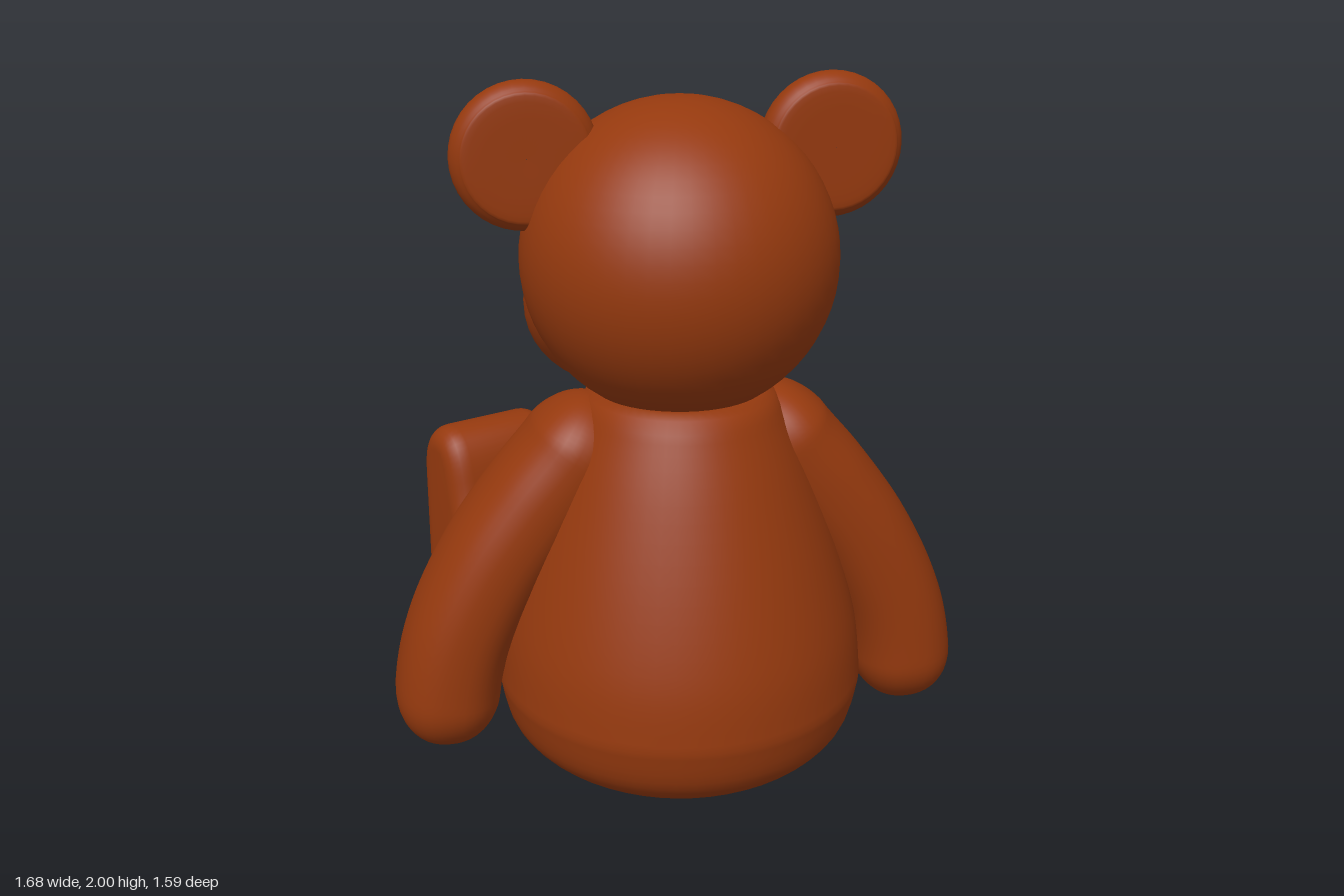
import * as THREE from 'three';
import { mergeVertices, toCreasedNormals } from 'three/addons/utils/BufferGeometryUtils.js';

const fur = new THREE.MeshStandardMaterial({ color: 0x95390e });
fur.name = 'brown fur';
const black = new THREE.MeshStandardMaterial({ color: 0x0a0a0a });
black.name = 'black';

const AXIS_Z = 0.25; // depth of the body, head, ear and arm centres

function add(group, name, geometry, material = fur) {
  const mesh = new THREE.Mesh(geometry, material);
  mesh.name = name;
  group.add(mesh);
  return mesh;
}

const spline = (pts) => new THREE.SplineCurve(pts.map(([x, y]) => new THREE.Vector2(x, y)));

// Smooth skin over rings; each ring has a centre c and half axes u, v (u x v points along the loft)
function loft(rings, sides, power) {
  const pos = [], index = [];
  const sup = (k) => Math.sign(k) * Math.pow(Math.abs(k), 2 / power);
  rings.forEach(({ c, u, v }, i) => {
    for (let j = 0; j < sides; j++) {
      const a = (j / sides) * Math.PI * 2;
      const p = c.clone().addScaledVector(u, sup(Math.cos(a))).addScaledVector(v, sup(Math.sin(a)));
      pos.push(p.x, p.y, p.z);
      if (i === rings.length - 1) continue;
      const k = (j + 1) % sides, r0 = i * sides, r1 = r0 + sides;
      index.push(r0 + j, r0 + k, r1 + j, r0 + k, r1 + k, r1 + j);
    }
  });
  const g = new THREE.BufferGeometry();
  g.setAttribute('position', new THREE.Float32BufferAttribute(pos, 3));
  g.setIndex(index);
  g.computeVertexNormals();
  return g;
}

// Pear-shaped torso
function torso() {
  const curve = spline([[0.535, 0.27], [0.515, 0.44], [0.45, 0.67], [0.36, 0.92], [0.285, 1.09]]);
  const base = spline([[0.001, 0.01], [0.25, 0.015], [0.4, 0.05], [0.5, 0.14], [0.535, 0.27]]);
  const pts = [...base.getPoints(20).slice(0, -1), ...curve.getPoints(20),
    ...[[0.265, 1.125], [0.23, 1.14], [0.001, 1.14]].map(([x, y]) => new THREE.Vector2(x, y))];
  return new THREE.LatheGeometry(pts, 56);
}

// Wedge-like snout tapering towards -z
function snout() {
  const plan = spline([[0.36, 0.25], [0.41, 0.1], [0.4, 0], [0.36, -0.1], [0.29, -0.2], [0.21, -0.29],
    [0.13, -0.36], [0.07, -0.39], [0, -0.4]]);
  const heights = spline([[1.7, 1.14], [1.66, 1.07], [1.63, 1.045], [1.6, 1.045], [1.565, 1.07], [1.525, 1.14],
    [1.475, 1.25], [1.445, 1.34], [1.41, 1.41]]);
  const rings = [];
  for (let i = 0; i <= 40; i++) {
    const a = plan.getPoint(i / 40), h = heights.getPoint(i / 40);
    rings.push({
      c: new THREE.Vector3(0, (h.x + h.y) / 2, a.y),
      u: new THREE.Vector3(0, Math.max((h.x - h.y) / 2, 0), 0),
      v: new THREE.Vector3(Math.max(a.x, 0), 0, 0),
    });
  }
  return loft(rings, 48, 2.2);
}

// Curved arm with rounded ends
function arm() {
  const path = spline([[0.23, 1.12], [0.29, 0.98], [0.42, 0.82], [0.54, 0.65], [0.64, 0.45], [0.685, 0.27], [0.69, 0.085]]);
  const length = path.getLength(), rings = [], n = 60;
  for (let i = 0; i <= n; i++) {
    const t = (1 - Math.cos((i / n) * Math.PI)) / 2; // closer rings at both ends
    const p = path.getPointAt(t), d = path.getTangentAt(t);
    const fromEnd = Math.min(t, 1 - t) * length;
    const k = 1 - Math.min(fromEnd / 0.17, 1);
    const s = Math.sqrt(Math.max(1 - k * k, 0));
    rings.push({
      c: new THREE.Vector3(p.x, p.y, 0),
      u: new THREE.Vector3(-d.y, d.x, 0).multiplyScalar(0.152 * s),
      v: new THREE.Vector3(0, 0, 0.185 * s),
    });
  }
  return loft(rings, 36, 2.3);
}

// Leg and upright foot in one L-shaped outline with soft edges
function leg() {
  const s = new THREE.Shape();
  s.moveTo(0.22, 0.02);
  s.lineTo(0.74, 0.005);
  s.quadraticCurveTo(0.88, 0.01, 0.88, 0.18);
  s.lineTo(0.88, 0.58);
  s.bezierCurveTo(0.88, 0.7, 0.82, 0.755, 0.75, 0.755);
  s.bezierCurveTo(0.66, 0.755, 0.635, 0.68, 0.62, 0.6);
  s.bezierCurveTo(0.6, 0.49, 0.57, 0.43, 0.48, 0.43);
  s.lineTo(0.3, 0.43);
  s.quadraticCurveTo(0.2, 0.43, 0.19, 0.33);
  s.quadraticCurveTo(0.18, 0.2, 0.13, 0.12);
  s.quadraticCurveTo(0.1, 0.02, 0.22, 0.02);
  const b = 0.07, width = 0.4;
  let g = new THREE.ExtrudeGeometry(s, {
    depth: width - 2 * b, bevelEnabled: true, bevelSize: b, bevelOffset: -b, bevelThickness: b,
    bevelSegments: 6, curveSegments: 10,
  });
  g.translate(0, 0, b - width / 2);
  g.deleteAttribute('normal');
  g.deleteAttribute('uv');
  g = mergeVertices(g, 1e-4);
  return toCreasedNormals(g, 0.9);
}

// Round ear, dished on the face side
function ear() {
  const pts = [[0.001, -0.055], [0.15, -0.055], [0.178, -0.045], [0.196, -0.022], [0.2, 0], [0.196, 0.025],
    [0.18, 0.048], [0.16, 0.058], [0.142, 0.052], [0.128, 0.03], [0.11, 0.005], [0.08, -0.01], [0.001, -0.015]];
  const g = new THREE.LatheGeometry(spline(pts).getPoints(48), 40);
  return g.rotateX(-Math.PI / 2);
}

export function createModel() {
  const model = new THREE.Group();
  model.name = 'teddyBear';

  add(model, 'body', torso()).position.z = 0.262;

  const head = new THREE.Group();
  head.name = 'head';
  model.add(head);
  const skull = new THREE.Vector3(0, 1.505, 0.245);
  add(head, 'skull', new THREE.SphereGeometry(0.44, 48, 32)).position.copy(skull);
  add(head, 'snout', snout());

  const nose = add(head, 'nose', new THREE.SphereGeometry(1, 24, 16), black);
  nose.scale.set(0.064, 0.042, 0.018);
  nose.position.set(0, 1.442, -0.388);
  nose.rotation.x = 0.6;

  for (const side of [1, -1]) {
    const label = side > 0 ? 'left' : 'right';

    // Flattened eye lying on the skull
    const out = new THREE.Vector3(side * 0.19, 0.18, -0.375).normalize();
    const eye = add(head, label + 'Eye', new THREE.SphereGeometry(1, 24, 16), black);
    eye.scale.set(0.062, 0.062, 0.022);
    eye.position.copy(skull).addScaledVector(out, 0.44);
    eye.quaternion.setFromUnitVectors(new THREE.Vector3(0, 0, 1), out);

    add(head, label + 'Ear', ear()).position.set(side * 0.42, 1.8, AXIS_Z);

    const armMesh = add(model, label + 'Arm', arm());
    armMesh.position.z = 0.245;
    armMesh.rotation.y = side > 0 ? 0 : Math.PI;

    // Legs splay outwards towards -z
    const legMesh = add(model, label + 'Leg', leg());
    const splay = THREE.MathUtils.degToRad(67);
    legMesh.position.set(side * 0.17, 0, 0.072);
    legMesh.rotation.y = side > 0 ? splay : Math.PI - splay;
  }
  return model;
}
